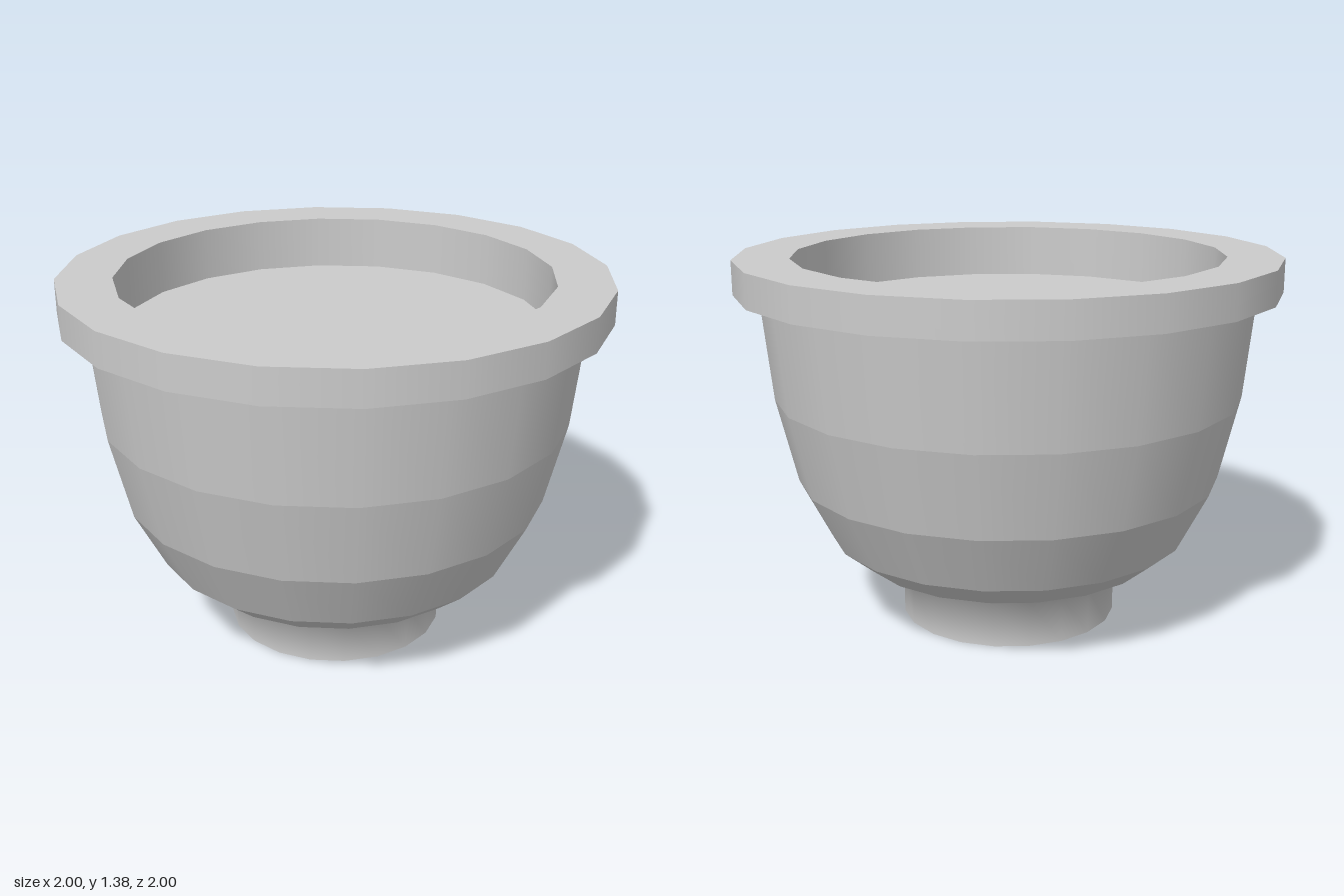
import * as THREE from 'three';
import { mergeGeometries } from 'three/addons/utils/BufferGeometryUtils.js';

const SIDES = 20;
const material = new THREE.MeshStandardMaterial({ color: 0xcccccc });

// Revolves one stretch of profile, smooth along its length
function lathe(profile) {
  return new THREE.LatheGeometry(profile.map(([r, y]) => new THREE.Vector2(r, y)), SIDES);
}

// Revolves each profile step on its own, so every band keeps a crisp edge
function banded(profile) {
  return mergeGeometries(profile.slice(1).map((p, i) => lathe([profile[i], p])));
}

export function createModel() {
  const group = new THREE.Group();
  const add = (name, geometry) => {
    const mesh = new THREE.Mesh(geometry, material);
    mesh.name = name;
    group.add(mesh);
  };

  // Closed base disc, then the foot ring flaring softly into the bowl
  add('base', lathe([[0, 0], [0.41, 0]]));
  add('foot', lathe([[0.41, 0], [0.41, 0.17], [0.57, 0.24]]));

  // Bowl wall in widening bands
  add('bowl', banded([[0.57, 0.24], [0.68, 0.33], [0.795, 0.555], [0.87, 0.87], [0.91, 1.26]]));

  // Thick overhanging rim: underside, outer edge, top and inner wall
  add('rim', banded([[0.91, 1.26], [1, 1.26], [1, 1.385], [0.795, 1.385], [0.795, 1.185]]));

  // Flat surface filling the bowl just below the rim
  add('filling', lathe([[0.795, 1.185], [0, 1.185]]));

  return group;
}
